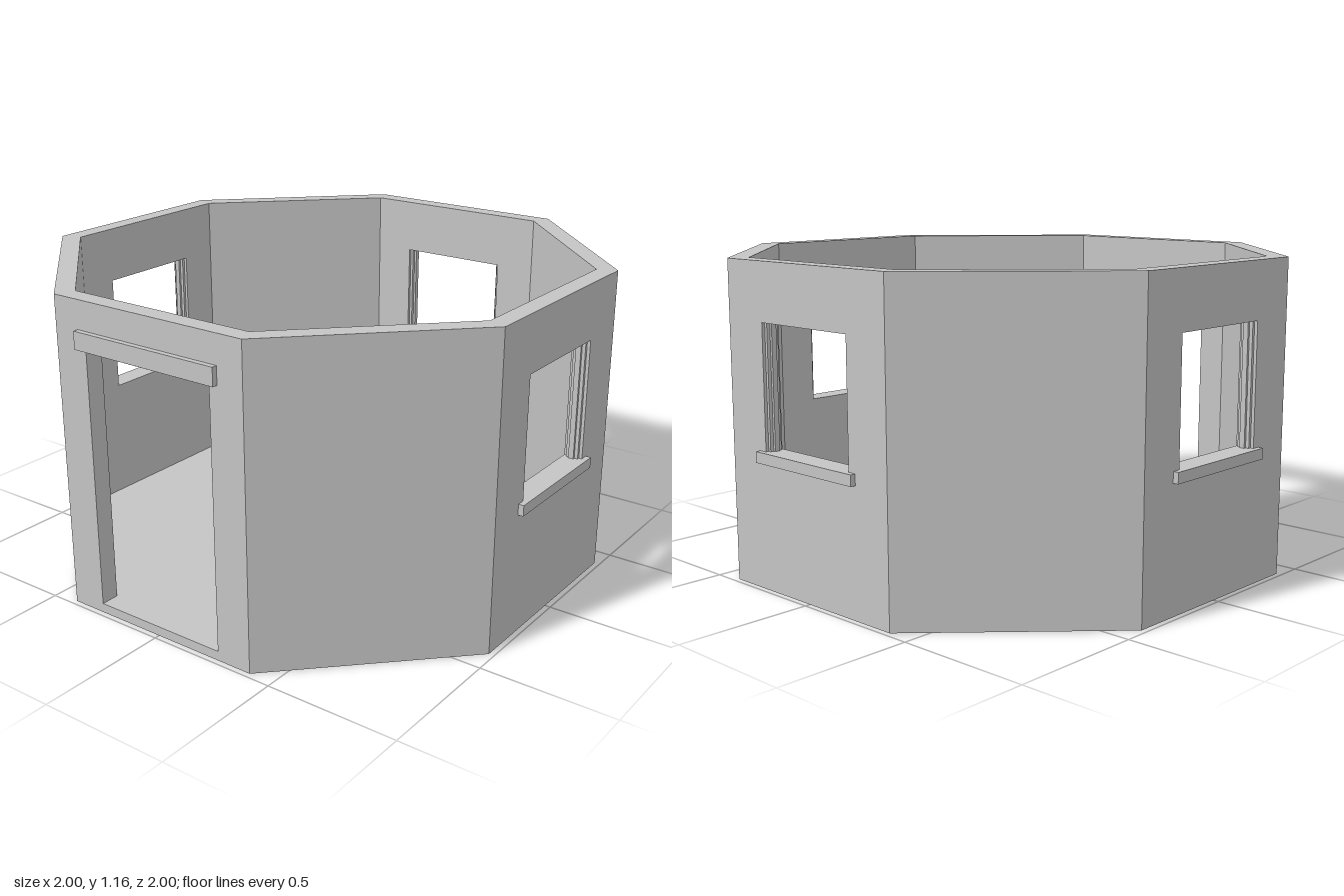
import * as THREE from 'three';

const OUT = 0.98, IN = 0.91, HEIGHT = 1.16;
const TAN = Math.tan(Math.PI / 8);
const plaster = new THREE.MeshStandardMaterial({ color: 0xc4c4c4 });
plaster.name = 'plaster grey';

function box(parent, name, x0, x1, y0, y1, z0, z1) {
  const mesh = new THREE.Mesh(new THREE.BoxGeometry(x1 - x0, y1 - y0, z1 - z0), plaster);
  mesh.position.set((x0 + x1) / 2, (y0 + y1) / 2, (z0 + z1) / 2);
  mesh.name = name;
  parent.add(mesh);
}

function rectangle(path, w, y0, y1) {
  path.moveTo(-w, y0);
  path.lineTo(w, y0);
  path.lineTo(w, y1);
  path.lineTo(-w, y1);
  path.closePath();
  return path;
}

// One mitred wall panel facing +z, with an optional opening [halfWidth, bottom, top]
function wallPanel(opening) {
  const half = OUT * TAN;
  const shape = rectangle(new THREE.Shape(), half, 0, HEIGHT);
  if (opening) shape.holes.push(rectangle(new THREE.Path(), ...opening));
  const geo = new THREE.ExtrudeGeometry(shape, { depth: OUT - IN, bevelEnabled: false });
  geo.translate(0, 0, IN);
  // Narrow the inner face so neighbouring panels meet at a mitre
  const p = geo.attributes.position;
  for (let i = 0; i < p.count; i++) {
    const x = p.getX(i);
    if (Math.abs(x) > half - 0.001 && p.getZ(i) < IN + 0.001) p.setX(i, Math.sign(x) * IN * TAN);
  }
  geo.computeVertexNormals();
  const mesh = new THREE.Mesh(geo, plaster);
  mesh.name = 'wallPanel';
  return mesh;
}

export function createModel() {
  const model = new THREE.Group();
  model.name = 'octagonalRoom';

  // Eight walls: door in front, windows on the other three main sides
  for (let i = 0; i < 8; i++) {
    const side = new THREE.Group();
    const isDoor = i === 0, isWindow = i > 0 && i % 2 === 0;
    side.name = isDoor ? 'doorWall' : isWindow ? 'windowWall' : 'plainWall';
    side.add(wallPanel(isDoor ? [0.27, 0.035, 0.98] : isWindow ? [0.22, 0.5, 0.95] : null));
    if (isDoor) box(side, 'doorLintel', -0.303, 0.303, 0.99, 1.055, 0.96, 1);
    if (isWindow) {
      box(side, 'windowSill', -0.252, 0.252, 0.46, 0.5, 0.96, 1);
      // Stepped jambs on both sides of the opening
      for (const s of [-1, 1]) {
        const span = (a, b) => (s > 0 ? [a, b] : [-b, -a]);
        box(side, 'windowJamb', ...span(0.2, 0.222), 0.5, 0.95, 0.935, 0.955);
        box(side, 'windowStop', ...span(0.209, 0.222), 0.5, 0.95, 0.922, 0.968);
      }
    }
    side.rotation.y = i * Math.PI / 4;
    model.add(side);
  }

  // Floor slab, slightly recessed underneath
  const radius = (IN + 0.003) / Math.cos(Math.PI / 8);
  const geo = new THREE.CylinderGeometry(radius, radius, 0.015, 8).toNonIndexed();
  geo.rotateY(Math.PI / 8);
  geo.computeVertexNormals();
  const floor = new THREE.Mesh(geo, plaster);
  floor.name = 'floor';
  floor.position.y = 0.0275;
  model.add(floor);

  return model;
}
